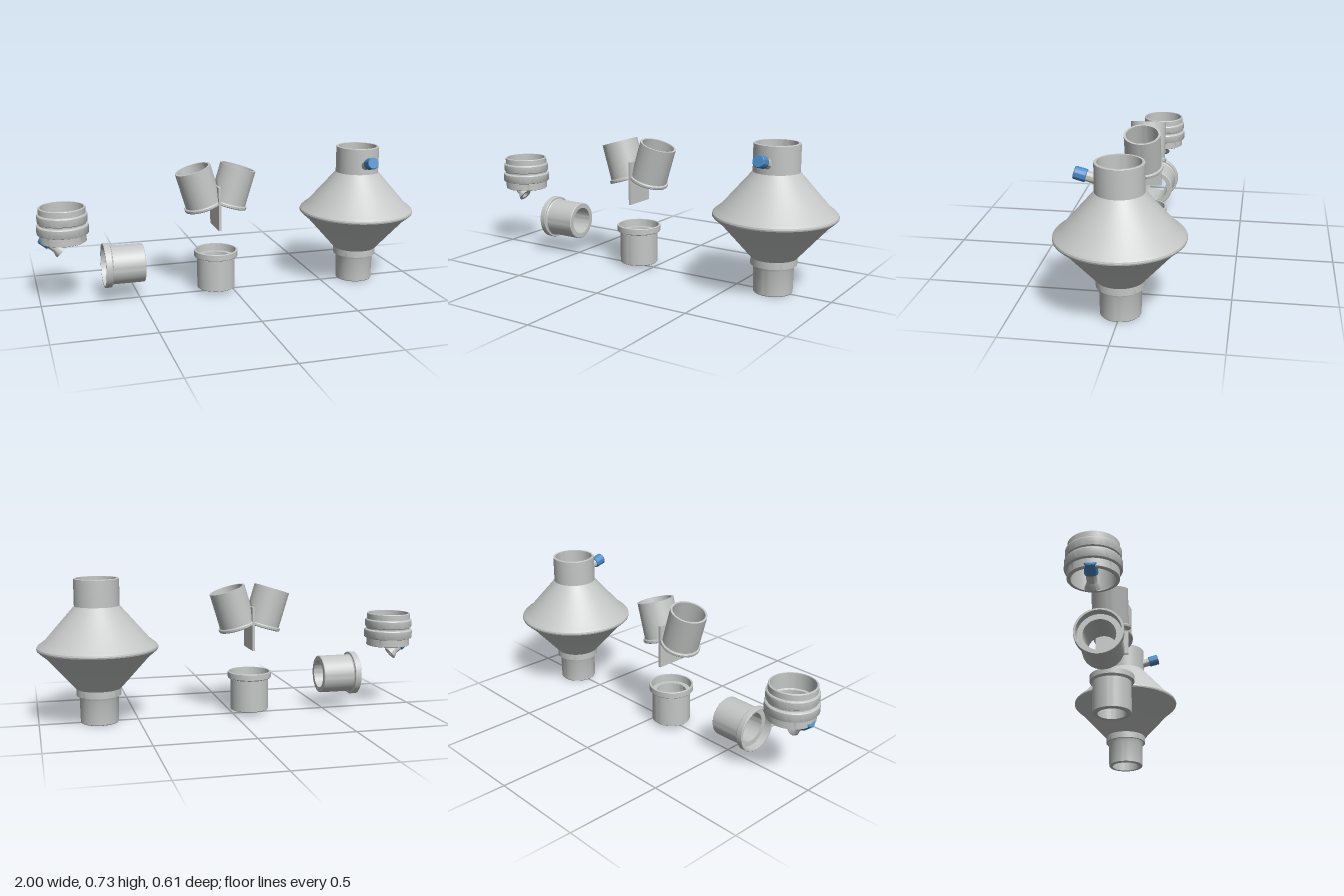
import * as THREE from 'three';
import { toCreasedNormals } from 'three/addons/utils/BufferGeometryUtils.js';

const plastic = new THREE.MeshStandardMaterial({ color: 0xc4c7c5 });
plastic.name = 'grey plastic';
const blue = new THREE.MeshStandardMaterial({ color: 0x4a8cc8 });
blue.name = 'blue cap';

const CREASE = 0.5;

// Closed wall profile: outer side upwards, then inner side downwards.
function lathe(points) {
  const loop = [...points, points[0]].map(([r, y]) => new THREE.Vector2(r, y));
  return new THREE.LatheGeometry(loop, 64);
}

function part(name, geometry, material = plastic) {
  const mesh = new THREE.Mesh(geometry, material);
  mesh.name = name;
  return mesh;
}

const turned = (name, points, material) =>
  part(name, toCreasedNormals(lathe(points), CREASE), material);

// Sampling port along +y: flared inner end, stem and blue cap
function makePort() {
  const port = new THREE.Group();
  port.name = 'samplingPort';
  port.add(turned('portStem', [
    [0.036, 0], [0.036, 0.004], [0.024, 0.028], [0.024, 0.068],
    [0.012, 0.068], [0.012, 0.01], [0.02, 0],
  ]));
  port.add(turned('portCap', [
    [0, 0.063], [0.027, 0.063], [0.03, 0.066], [0.03, 0.116],
    [0.027, 0.12], [0, 0.12],
  ], blue));
  return port;
}

// Hollow double-cone filter housing with its membrane and port
function makeFilter() {
  const filter = new THREE.Group();
  filter.name = 'filter';
  filter.add(turned('filterHousing', [
    [0.093, 0], [0.096, 0.004], [0.098, 0.125], [0.104, 0.141], [0.113, 0.141],
    [0.113, 0.176], [0.26, 0.341], [0.292, 0.368], [0.301, 0.377], [0.303, 0.384],
    [0.301, 0.392], [0.29, 0.403], [0.262, 0.424], [0.113, 0.595], [0.113, 0.73],
    [0.111, 0.732], [0.1, 0.732], [0.1, 0.59], [0.25, 0.42], [0.288, 0.39],
    [0.288, 0.378], [0.25, 0.346], [0.08, 0.17], [0.077, 0],
  ]));
  const membrane = part('filterMembrane', new THREE.CylinderGeometry(0.288, 0.288, 0.006, 64));
  membrane.position.y = 0.384;
  filter.add(membrane);
  const port = makePort();
  port.position.set(0, 0.643, 0.085);
  port.rotation.x = THREE.MathUtils.degToRad(75);
  filter.add(port);
  filter.position.x = 0.697;
  return filter;
}

// Connector sleeve with a wide collar at the top
function makeSleeve(name) {
  return turned(name, [
    [0.096, 0], [0.099, 0.003], [0.099, 0.165], [0.103, 0.17], [0.112, 0.17],
    [0.114, 0.173], [0.114, 0.201], [0.112, 0.203], [0.104, 0.203],
    [0.102, 0.165], [0.076, 0.165], [0.072, 0],
  ]);
}

// One slanted arm of the Y, flattened against the dividing plane x = 0
function makeArm(name) {
  const length = 0.207;
  const points = [[0.1, 0], [0.103, 0.004], [0.103, 0.014], [0.1, 0.018], [0.094, 0.019]];
  const steps = 16;
  for (let i = 1; i <= steps; i++) points.push([0.094, 0.019 + (length - 0.019) * i / steps]);
  for (let i = steps; i >= 0; i--) points.push([0.083, length * i / steps]);
  const geometry = lathe(points);
  geometry.rotateZ(-THREE.MathUtils.degToRad(17));
  geometry.translate(0.06, 0.46, 0);
  const p = geometry.attributes.position;
  for (let i = 0; i < p.count; i++) p.setX(i, Math.max(p.getX(i), 0.002));
  return part(name, toCreasedNormals(geometry, CREASE));
}

function makeSplitter() {
  const splitter = new THREE.Group();
  splitter.name = 'ySplitter';
  const leftArm = makeArm('leftArm');
  const rightArm = makeArm('rightArm');
  rightArm.rotation.y = Math.PI;
  const divider = part('dividerPlate', new THREE.BoxGeometry(0.013, 0.225, 0.17));
  divider.position.y = 0.4575;
  splitter.add(leftArm, rightArm, divider);
  splitter.position.x = -0.091;
  return splitter;
}

// Ribbed open adapter ring with a port slung below it
function makeAdapter() {
  const adapter = new THREE.Group();
  adapter.name = 'adapter';
  adapter.add(turned('adapterRing', [
    [0.11, 0.332], [0.115, 0.335], [0.115, 0.372], [0.126, 0.376], [0.128, 0.38],
    [0.128, 0.416], [0.125, 0.42], [0.116, 0.423], [0.116, 0.43], [0.122, 0.434],
    [0.124, 0.44], [0.124, 0.47], [0.121, 0.475], [0.115, 0.477], [0.115, 0.505],
    [0.113, 0.508], [0.106, 0.508], [0.106, 0.43], [0.098, 0.425], [0.098, 0.332],
  ]));
  const port = makePort();
  port.position.set(-0.014, 0.283, 0);
  port.rotation.z = THREE.MathUtils.degToRad(51);
  adapter.add(port);
  adapter.position.x = -0.874;
  return adapter;
}

export function createModel() {
  const model = new THREE.Group();
  model.name = 'breathingCircuitParts';

  const uprightSleeve = makeSleeve('uprightSleeve');
  uprightSleeve.position.set(-0.091, 0.021, 0);

  // Same sleeve on its side, collar facing -x
  const sideSleeve = makeSleeve('sideSleeve');
  sideSleeve.rotation.z = Math.PI / 2;
  sideSleeve.position.set(-0.478, 0.187, 0);

  model.add(makeFilter(), makeSplitter(), makeAdapter(), uprightSleeve, sideSleeve);
  return model;
}
